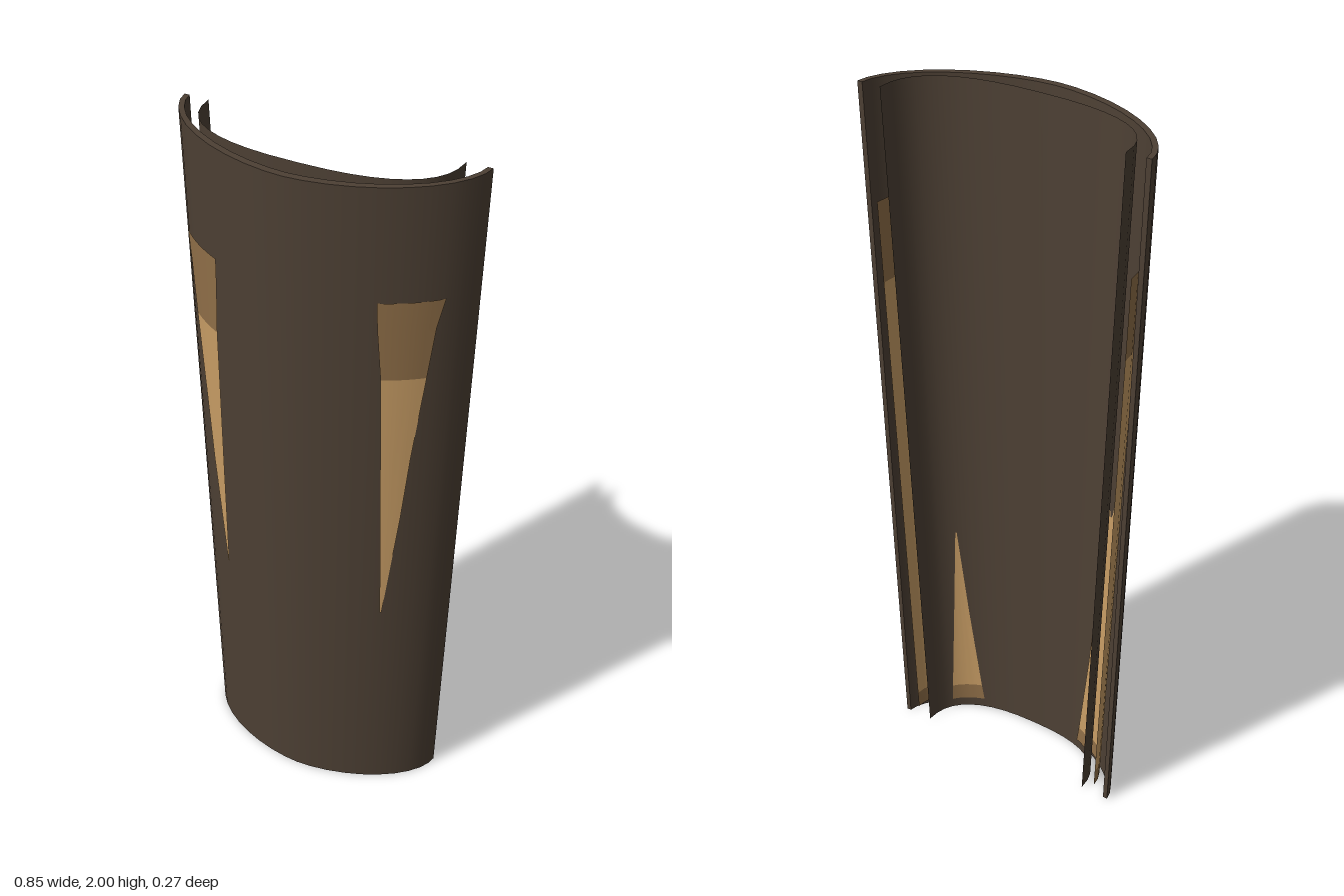
import * as THREE from 'three';
import { toCreasedNormals } from 'three/addons/utils/BufferGeometryUtils.js';

const BACK = -0.135; // z of the open rear edges
const SEGMENTS = 20;
const HEIGHT = 2;

// Tapered half-tubes: half width and front z at the foot and the top, n = roundness
const OUTER = { w: [0.355, 0.425], f: [0.07, 0.133], n: 1.75 };
const LINING = { w: [0.342, 0.41], f: [0.054, 0.112], n: 1.75 };
const PAD = { w: [0.309, 0.394], f: [0.029, 0.114], n: 2.1 };
const INNER = { w: [0.27, 0.355], f: [0.025, 0.055], n: 2.5 };

const at = (range, y) => THREE.MathUtils.lerp(range[0], range[1], y / HEIGHT);

// One horizontal section of a half-tube, running from -x to +x
function section(s, y) {
  const w = at(s.w, y), depth = at(s.f, y) - BACK, row = [];
  for (let i = 0; i <= SEGMENTS; i++) {
    const a = Math.PI * (1 - i / SEGMENTS), c = Math.cos(a);
    const x = Math.sign(c) * Math.pow(Math.abs(c), 2 / s.n) * w;
    const z = BACK + Math.pow(Math.max(0, Math.sin(a)), 2 / s.n) * depth;
    row.push(new THREE.Vector3(x, y, z));
  }
  return row;
}

// Point on a half-tube at a given x, lifted off its surface
function surfacePoint(s, x, y, lift) {
  const w = at(s.w, y) + lift, depth = at(s.f, y) + lift - BACK;
  const k = Math.min(1, Math.abs(x) / w);
  return new THREE.Vector3(x, y, BACK + depth * Math.pow(1 - Math.pow(k, s.n), 1 / s.n));
}

// Skin through rows of points
function loft(rows) {
  const n = rows[0].length, index = [];
  for (let r = 0; r < rows.length - 1; r++) {
    for (let i = 0; i < n - 1; i++) {
      const a = r * n + i, b = a + n;
      index.push(a, a + 1, b + 1, a, b + 1, b);
    }
  }
  const g = new THREE.BufferGeometry().setFromPoints(rows.flat());
  g.setIndex(index);
  return toCreasedNormals(g, 0.6);
}

export function createModel() {
  const model = new THREE.Group();
  model.name = 'curvedGuard';
  const material = (name, color) => {
    const m = new THREE.MeshStandardMaterial({ color, side: THREE.DoubleSide });
    m.name = name;
    return m;
  };
  const leather = material('darkLeather', 0x4d4034);
  const tan = material('tanPadding', 0xc89d65);
  const brown = material('brownTrim', 0x906f48);

  const add = (name, rows, mat) => {
    const mesh = new THREE.Mesh(loft(rows), mat);
    mesh.name = name;
    model.add(mesh);
  };

  // Outer shell: outside, top rim, lining, bottom rim
  add('outerShell', [
    section(OUTER, 0), section(OUTER, HEIGHT),
    section(LINING, HEIGHT), section(LINING, 0), section(OUTER, 0),
  ], leather);

  // Narrow strips that close the rear edges of the outer shell
  for (const side of [-1, 1]) {
    const edge = (s) => [0, HEIGHT].map((y) => new THREE.Vector3(side * at(s.w, y), y, BACK));
    add('rearEdge', [edge(OUTER), edge(LINING)], leather);
  }

  // Inner shell
  add('innerShell', [section(INNER, 0), section(INNER, HEIGHT)], leather);

  // Padding between the shells, trimmed at both ends
  const pad = (name, y0, y1, mat) => add(name, [section(PAD, y0), section(PAD, y1)], mat);
  pad('paddingFootTrim', 0.03, 0.08, brown);
  pad('padding', 0.08, 1.45, tan);
  pad('paddingTopTrim', 1.45, 1.68, brown);

  // Tapering inlays: each stop is [y, inner x, outer x]
  function inlay(name, shell, lift, stops, mat) {
    for (const side of [-1, 1]) {
      const rows = stops.map(([y, x0, x1]) => {
        const row = [];
        for (let i = 0; i <= 8; i++) {
          const t = side > 0 ? i / 8 : 1 - i / 8;
          row.push(surfacePoint(shell, side * THREE.MathUtils.lerp(x0, x1, t), y, lift));
        }
        return row;
      });
      add(name, rows, mat);
    }
  }
  inlay('frontInlay', OUTER, 0.003,
    [[0.66, 0.239, 0.243], [1.0, 0.238, 0.284], [1.2, 0.237, 0.304], [1.45, 0.236, 0.333]], tan);
  inlay('frontInlayTrim', OUTER, 0.003, [[1.45, 0.236, 0.333], [1.6, 0.228, 0.35], [1.68, 0.226, 0.366]], brown);
  inlay('rearInlay', INNER, -0.003, [[0.08, 0.173, 0.245], [0.35, 0.208, 0.244], [0.63, 0.239, 0.242]], tan);
  inlay('rearInlayTrim', INNER, -0.003, [[0.03, 0.165, 0.245], [0.08, 0.173, 0.245]], brown);

  return model;
}
